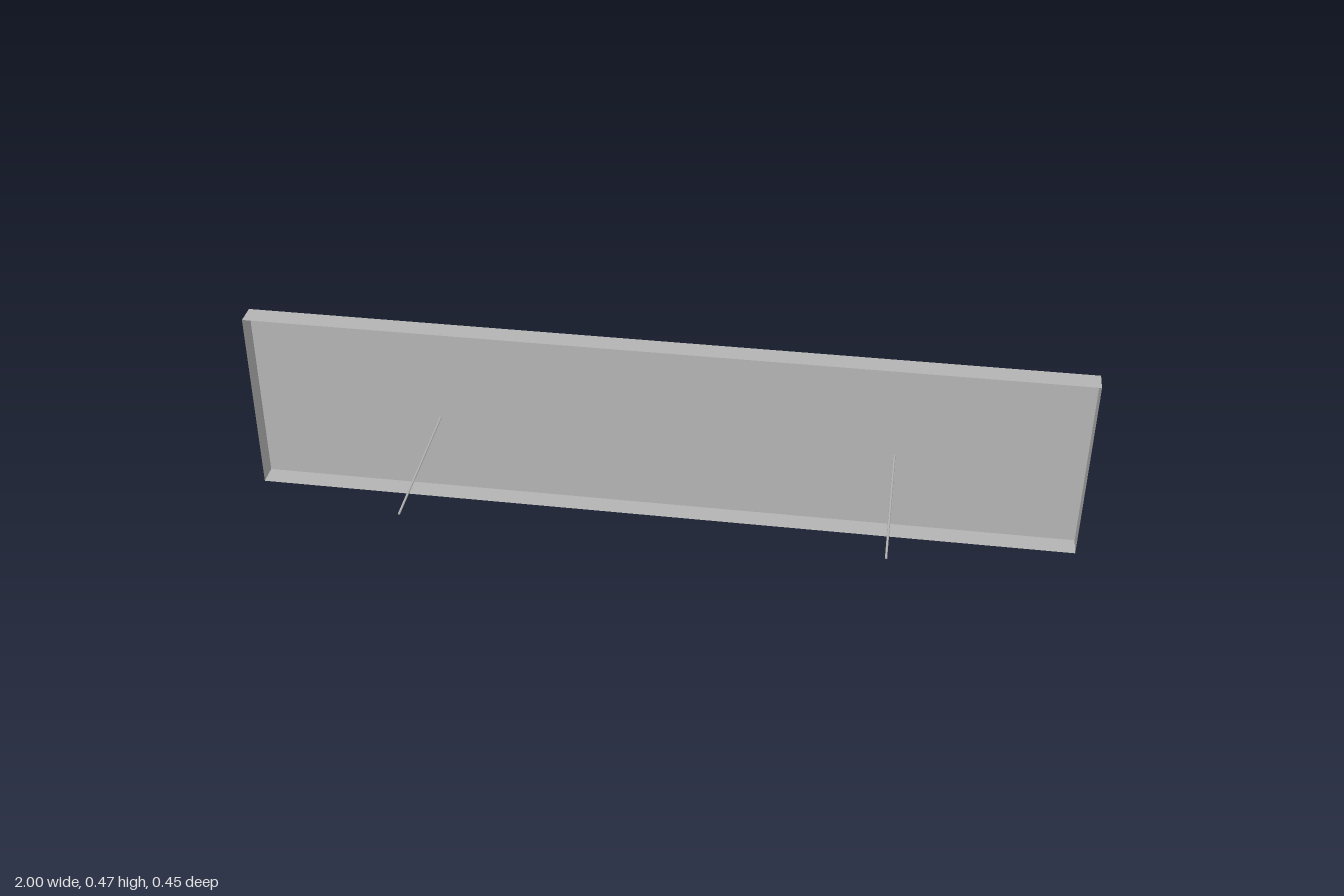
import * as THREE from 'three';

export function createModel() {
  const model = new THREE.Group();
  const grey = new THREE.MeshStandardMaterial({ color: 0xb4b4b4, side: THREE.DoubleSide });
  grey.name = 'plain grey';

  const W = 2, H = 0.467, D = 0.052;
  const back = -0.223, front = back + D, midZ = (back + front) / 2;

  // Shallow tray of thin sheets, open towards the front
  const tray = new THREE.Group();
  tray.name = 'tray';
  model.add(tray);
  const sheet = (name, w, h, pos, rx, ry) => {
    const mesh = new THREE.Mesh(new THREE.PlaneGeometry(w, h), grey);
    mesh.name = name;
    mesh.position.set(...pos);
    mesh.rotation.set(rx, ry, 0);
    tray.add(mesh);
  };
  sheet('backPanel', W, H, [0, H / 2, back], 0, Math.PI);
  sheet('topWall', W, D, [0, H, midZ], -Math.PI / 2, 0);
  sheet('bottomWall', W, D, [0, 0, midZ], Math.PI / 2, 0);
  sheet('leftWall', D, H, [W / 2, H / 2, midZ], 0, Math.PI / 2);
  sheet('rightWall', D, H, [-W / 2, H / 2, midZ], 0, -Math.PI / 2);

  // Two thin rods reaching forward from the plane of the tray's rim
  const length = 0.223 - front;
  const rodGeometry = new THREE.CylinderGeometry(0.0026, 0.0026, length, 12).rotateX(Math.PI / 2);
  for (const [name, x] of [['rightRod', -0.533], ['leftRod', 0.554]]) {
    const rod = new THREE.Mesh(rodGeometry, grey);
    rod.name = name;
    rod.position.set(x, 0.236, front + length / 2);
    model.add(rod);
  }
  return model;
}
